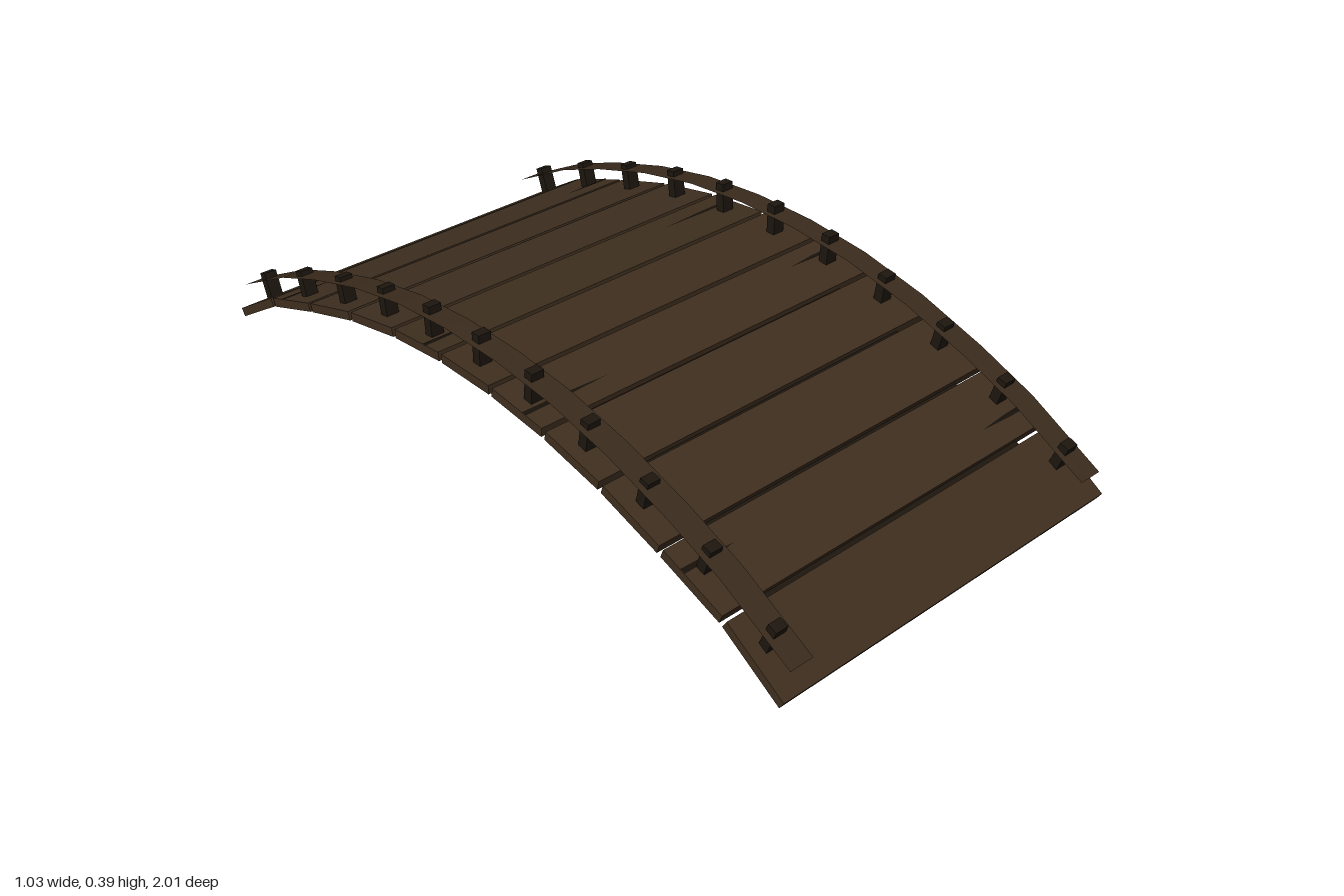
import * as THREE from 'three';

const mat = (color, side = THREE.FrontSide) =>
  new THREE.MeshStandardMaterial({ color, side, flatShading: true });
const wood = mat(0x3f2f1f), railWood = mat(0x3a2b1c, THREE.DoubleSide);
const dark = mat(0x1d160f), crackMat = mat(0x17110b, THREE.DoubleSide);

const WIDTH = 1.026, THICK = 0.023, GAP = 0.012, RAIL_X = 0.462;

// Seams of the arch (z, y of plank centre line) from the crown to one end
const half = [[0.092, 0.293], [0.275, 0.274], [0.46, 0.236], [0.645, 0.178], [0.83, 0.112], [0.999, 0.007]];
const mirrored = (pts) => [...pts.map(([z, y]) => [-z, y]).reverse(), ...pts];
const seams = mirrored(half);
const railPath = mirrored([[0.092, 0.362], [0.275, 0.345], [0.46, 0.307], [0.645, 0.25], [0.8, 0.19], [1, 0.084]]);

function add(parent, name, geometry, material, x = 0, y = 0, z = 0, rx = 0) {
  const mesh = new THREE.Mesh(geometry, material);
  mesh.name = name;
  mesh.position.set(x, y, z);
  mesh.rotation.x = rx;
  parent.add(mesh);
  return mesh;
}

// Thin wedge-shaped split running inwards from a plank end
function crack(plank, side, z, length) {
  const e = side * WIDTH / 2;
  const s = new THREE.Shape([
    new THREE.Vector2(e, z - 0.008),
    new THREE.Vector2(e - side * length * 0.5, z - 0.006),
    new THREE.Vector2(e - side * length, z),
    new THREE.Vector2(e - side * length * 0.45, z + 0.005),
    new THREE.Vector2(e, z + 0.006),
  ]);
  const g = new THREE.ShapeGeometry(s).rotateX(Math.PI / 2);
  if (g.attributes.normal.getY(0) < 0) {
    // face the split upwards
    g.scale(1, 1, 1);
    const idx = g.index.array;
    for (let i = 0; i < idx.length; i += 3) [idx[i], idx[i + 1]] = [idx[i + 1], idx[i]];
    g.computeVertexNormals();
  }
  add(plank, 'woodSplit', g, crackMat, 0, THICK / 2 + 0.0015, 0);
}

// Flat ribbon following the arch
function ribbon(path, width) {
  const pos = [], index = [];
  path.forEach(([z, y], i) => {
    pos.push(-width / 2, y, z, width / 2, y, z);
    if (i) {
      const a = 2 * (i - 1);
      index.push(a, a + 2, a + 1, a + 1, a + 2, a + 3);
    }
  });
  const g = new THREE.BufferGeometry();
  g.setAttribute('position', new THREE.Float32BufferAttribute(pos, 3));
  g.setIndex(index);
  g.computeVertexNormals();
  return g;
}

export function createModel() {
  const bridge = new THREE.Group();
  bridge.name = 'archedBridge';

  // Deck planks between neighbouring seams
  const deck = new THREE.Group();
  deck.name = 'deck';
  bridge.add(deck);
  for (let i = 0; i < seams.length - 1; i++) {
    const [z0, y0] = seams[i], [z1, y1] = seams[i + 1];
    const plank = new THREE.Group();
    plank.name = 'plank';
    plank.position.set(0, (y0 + y1) / 2, (z0 + z1) / 2);
    plank.rotation.x = -Math.atan2(y1 - y0, z1 - z0);
    deck.add(plank);
    const startGap = i > 0 ? GAP / 2 : 0, endGap = i < seams.length - 2 ? GAP / 2 : 0;
    const len = Math.hypot(z1 - z0, y1 - y0) - startGap - endGap;
    add(plank, 'plankBoard', new THREE.BoxGeometry(WIDTH, THICK, len), wood, 0, 0, (startGap - endGap) / 2);

    // Splits, turned half round on the far side of the crown
    const k = i - 5, s = Math.sign(k);
    if (Math.abs(k) === 1) {
      crack(plank, -s, s * 0.027, 0.235);
      crack(plank, s, -s * 0.035, 0.15);
    }
    if (Math.abs(k) === 4) {
      crack(plank, -s, -s * 0.03, 0.145);
      crack(plank, s, s * 0.035, 0.16);
    }
  }

  // Dark slats closing the seams between the rails
  for (let i = 1; i < seams.length - 1; i++) {
    const [za, ya] = seams[i - 1], [zb, yb] = seams[i + 1], [z, y] = seams[i];
    add(deck, 'seamSlat', new THREE.BoxGeometry(0.83, 0.004, 0.022), dark,
      0, y - 0.004, z, -Math.atan2(yb - ya, zb - za));
  }

  // Rails and their short pegs, leaning outwards with the arch
  const pegTops = [0.386, 0.376, 0.343, 0.292, 0.228, 0.143];
  for (const side of [-1, 1]) {
    const rail = new THREE.Group();
    rail.name = side > 0 ? 'leftRail' : 'rightRail';
    rail.position.x = side * RAIL_X;
    bridge.add(rail);
    add(rail, 'railStrip', ribbon(railPath, 0.064), railWood);
    for (let k = -5; k <= 5; k++) {
      const z = k * 0.1865, tilt = 0.37 * z, h = 0.088;
      add(rail, 'railPeg', new THREE.BoxGeometry(0.034, h, 0.025), dark,
        0, pegTops[Math.abs(k)] - Math.cos(tilt) * h / 2 - 0.003, z - Math.sin(tilt) * h / 2, tilt);
    }
  }
  return bridge;
}
